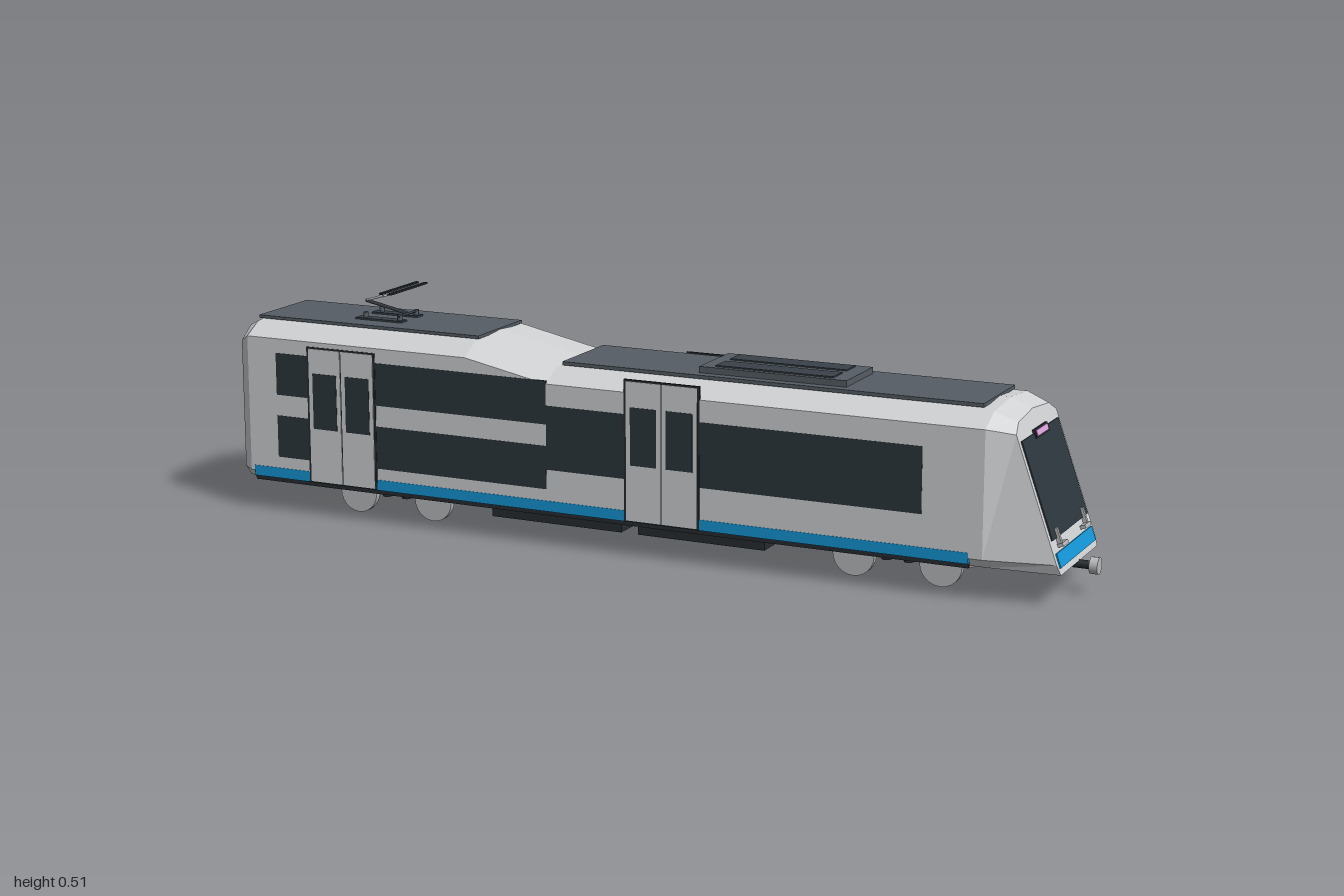
import * as THREE from 'three';

const mat = (name, color) => {
  const m = new THREE.MeshStandardMaterial({ color });
  m.name = name;
  return m;
};

export function createModel() {
  const M = {
    body: mat('body silver', 0xd0d2d4),
    glass: mat('dark glass', 0x2c363d),
    roof: mat('roof grey', 0x565d65),
    vent: mat('vent grey', 0x3a4148),
    blue: mat('stripe blue', 0x1296d6),
    pink: mat('sign pink', 0xdc9fdc),
    under: mat('underframe black', 0x262c31),
    metal: mat('metal grey', 0xb9bbbd),
  };
  const train = new THREE.Group();
  train.name = 'railcar';

  const add = (name, geo, m, parent = train) => {
    const mesh = new THREE.Mesh(geo, m);
    mesh.name = name;
    parent.add(mesh);
    return mesh;
  };
  // Box given by its limits on each axis
  const box = (name, m, [x0, x1], [y0, y1], [z0, z1], parent = train) => {
    const b = add(name, new THREE.BoxGeometry(x1 - x0, y1 - y0, z1 - z0), m, parent);
    b.position.set((x0 + x1) / 2, (y0 + y1) / 2, (z0 + z1) / 2);
    return b;
  };
  // Cylinder between two points
  const rod = (name, m, a, b, r, sides = 8, parent = train) => {
    const p = new THREE.Vector3(...a), q = new THREE.Vector3(...b);
    const c = add(name, new THREE.CylinderGeometry(r, r, p.distanceTo(q), sides), m, parent);
    c.position.copy(p).add(q).multiplyScalar(0.5);
    c.quaternion.setFromUnitVectors(new THREE.Vector3(0, 1, 0), q.sub(p).normalize());
    return c;
  };

  // Body shell: half profiles (z, y) mirrored and joined along x
  const noseX = (y) => 0.957 - 0.355 * (y - 0.07);
  const high = [[0.135, 0.07], [0.16, 0.092], [0.16, 0.405], [0.113, 0.432], [0, 0.441]];
  const low = [[0.135, 0.07], [0.16, 0.092], [0.16, 0.365], [0.108, 0.392], [0, 0.401]];
  const stations = [
    [() => -0.99, [[0.125, 0.072], [0.145, 0.095], [0.145, 0.39], [0.105, 0.42], [0, 0.429]]],
    [() => -0.965, high],
    [() => -0.4, high],
    [() => -0.2, low],
    [() => 0.8, low],
    [noseX, [[0.125, 0.07], [0.132, 0.092], [0.132, 0.354], [0.1, 0.373], [0, 0.382]]],
  ];
  const rings = stations.map(([x, half]) => {
    const mirrored = half.slice(0, -1).reverse().map(([z, y]) => [-z, y]);
    return [...half, ...mirrored].map(([z, y]) => [x(y), y, z]);
  });
  const pos = [];
  const tri = (...pts) => pts.forEach((p) => pos.push(...p));
  const n = rings[0].length;
  for (let i = 0; i < rings.length - 1; i++) {
    for (let j = 0; j < n; j++) {
      const k = (j + 1) % n, A = rings[i], B = rings[i + 1];
      tri(A[j], B[j], B[k]);
      tri(A[j], B[k], A[k]);
    }
  }
  const first = rings[0], last = rings[rings.length - 1];
  for (let k = 1; k < n - 1; k++) {
    tri(first[0], first[k], first[k + 1]);
    tri(last[0], last[k + 1], last[k]);
  }
  const shell = new THREE.BufferGeometry();
  shell.setAttribute('position', new THREE.Float32BufferAttribute(pos, 3));
  shell.computeVertexNormals();
  add('bodyShell', shell, M.body);

  // Rounded gangway panel on the rear end
  const w = 0.115, h = 0.15, r = 0.03;
  const outline = new THREE.Shape();
  outline.absarc(w - r, h - r, r, 0, Math.PI / 2);
  outline.absarc(-w + r, h - r, r, Math.PI / 2, Math.PI);
  outline.absarc(-w + r, -h + r, r, Math.PI, Math.PI * 1.5);
  outline.absarc(w - r, -h + r, r, Math.PI * 1.5, Math.PI * 2);
  const gangway = add('gangway', new THREE.ExtrudeGeometry(outline,
    { depth: 0.012, bevelEnabled: false, curveSegments: 4 }), M.under);
  gangway.rotation.y = -Math.PI / 2;
  gangway.position.set(-0.988, 0.238, 0);

  // Windows, stripes and doors on both sides
  const windows = [
    [-0.89, -0.2, 0.275, 0.372], [-0.89, -0.2, 0.13, 0.227], [-0.2, 0.667, 0.174, 0.317],
  ];
  for (const s of [1, -1]) {
    const side = new THREE.Group();
    side.name = s > 0 ? 'frontSide' : 'backSide';
    train.add(side);
    const plate = (name, m, xs, ys, z0, z1) =>
      box(name, m, xs, ys, s > 0 ? [z0, z1] : [-z1, -z0], side);
    windows.forEach(([a, b, c, d]) => plate('sideWindow', M.glass, [a, b], [c, d], 0.156, 0.1605));
    plate('sideStripe', M.blue, [-0.955, 0.77], [0.08, 0.104], 0.152, 0.161);
    plate('skirtRail', M.under, [-0.955, 0.77], [0.07, 0.08], 0.148, 0.156);
    for (const x of [-0.718, 0.078]) {
      plate('doorFrame', M.under, [x - 0.089, x + 0.089], [0.08, 0.394], 0.156, 0.1615);
      for (const d of [-1, 1]) {
        const c = x + d * 0.0425;
        plate('doorLeaf', M.body, [c - 0.041, c + 0.041], [0.083, 0.39], 0.157, 0.163);
        plate('doorWindow', M.glass, [c - 0.031, c + 0.031], [0.206, 0.334], 0.16, 0.1638);
      }
    }
  }

  // Sloping cab front: local y runs up the slope, local x points outward
  const cab = new THREE.Group();
  cab.name = 'cabFront';
  cab.position.set(0.957, 0.07, 0);
  cab.rotation.z = Math.atan(0.355);
  train.add(cab);
  const onCab = (name, m, y0, y1, z0, z1, t) => box(name, m, [-0.002, t],
    [(y0 - 0.07) * 1.061, (y1 - 0.07) * 1.061], [z0, z1], cab);
  onCab('windscreen', M.glass, 0.138, 0.338, -0.12, 0.12, 0.003);
  onCab('cabStripe', M.blue, 0.083, 0.112, -0.12, 0.12, 0.003);
  onCab('signHousing', M.under, 0.327, 0.345, -0.042, 0.042, 0.006);
  onCab('signPanel', M.pink, 0.33, 0.342, -0.036, 0.036, 0.0075);
  for (const s of [1, -1]) {
    onCab('wiperArm', M.metal, 0.122, 0.157, s * 0.088 - 0.004, s * 0.088 + 0.004, 0.009);
    onCab('wiperBase', M.metal, 0.119, 0.126, s * 0.077 - 0.018, s * 0.077 + 0.018, 0.012);
  }

  // Roof panels and cooling unit
  box('rearRoofPanel', M.roof, [-0.97, -0.397], [0.436, 0.443], [-0.101, 0.101]);
  box('frontRoofPanel', M.roof, [-0.19, 0.775], [0.396, 0.404], [-0.099, 0.099]);
  box('coolingUnit', M.roof, [0.127, 0.465], [0.4, 0.418], [-0.076, 0.076]);
  for (const z of [-0.038, 0.038])
    box('coolingVent', M.vent, [0.16, 0.43], [0.41, 0.421], [z - 0.026, z + 0.026]);

  // Pantograph
  const panto = new THREE.Group();
  panto.name = 'pantograph';
  train.add(panto);
  for (const z of [-0.036, 0.036]) {
    box('mountPlate', M.vent, [-0.745, -0.625], [0.443, 0.447], [z - 0.013, z + 0.013], panto);
    for (const x of [-0.725, -0.635])
      rod('insulator', M.roof, [x, 0.443, z], [x, 0.459, z], 0.006, 8, panto);
  }
  rod('baseBar', M.vent, [-0.635, 0.456, -0.045], [-0.635, 0.456, 0.045], 0.003, 6, panto);
  rod('lowerArm', M.vent, [-0.635, 0.456, 0], [-0.745, 0.478, 0], 0.004, 6, panto);
  rod('upperArm', M.metal, [-0.745, 0.478, 0], [-0.645, 0.509, 0], 0.003, 6, panto);
  for (const x of [-0.657, -0.635])
    box('contactStrip', M.under, [x - 0.004, x + 0.004], [0.511, 0.515], [-0.082, 0.082], panto);
  rod('collectorHorn', M.metal, [-0.646, 0.51, -0.091], [-0.646, 0.51, 0.091], 0.0025, 6, panto);

  // Bogies with wheels, axles and frames
  for (const [a, b] of [[-0.725, -0.53], [0.49, 0.685]]) {
    const bogie = new THREE.Group(), mid = (a + b) / 2;
    bogie.name = 'bogie';
    train.add(bogie);
    for (const x of [a, b]) {
      rod('axle', M.under, [x, 0.048, -0.08], [x, 0.048, 0.08], 0.009, 8, bogie);
      for (const s of [1, -1])
        rod('wheel', M.metal, [x, 0.048, s * 0.07], [x, 0.048, s * 0.085], 0.047, 24, bogie);
    }
    for (const s of [1, -1]) {
      box('bogieFrame', M.under, [a - 0.05, b + 0.05], [0.055, 0.072],
        [s * 0.055 - 0.012, s * 0.055 + 0.012], bogie);
      for (const x of [mid - 0.025, mid + 0.025])
        rod('spring', M.under, [x, 0.045, s * 0.078], [x, 0.072, s * 0.078], 0.011, 10, bogie);
    }
    box('bogieBolster', M.under, [mid - 0.03, mid + 0.03], [0.045, 0.072], [-0.07, 0.07], bogie);
  }

  // Underfloor equipment
  box('rearEquipmentBox', M.under, [-0.365, -0.045], [0.037, 0.071], [-0.106, 0.106]);
  box('frontEquipmentBox', M.under, [-0.005, 0.295], [0.037, 0.071], [-0.106, 0.106]);
  box('equipmentLink', M.under, [-0.09, 0.048], [0.031, 0.071], [-0.1, -0.062]);

  // Front coupler
  rod('couplerShaft', M.under, [0.93, 0.063, 0], [0.985, 0.063, 0], 0.009, 10);
  rod('couplerHead', M.metal, [0.982, 0.063, 0], [1.0, 0.063, 0], 0.018, 16);

  return train;
}
